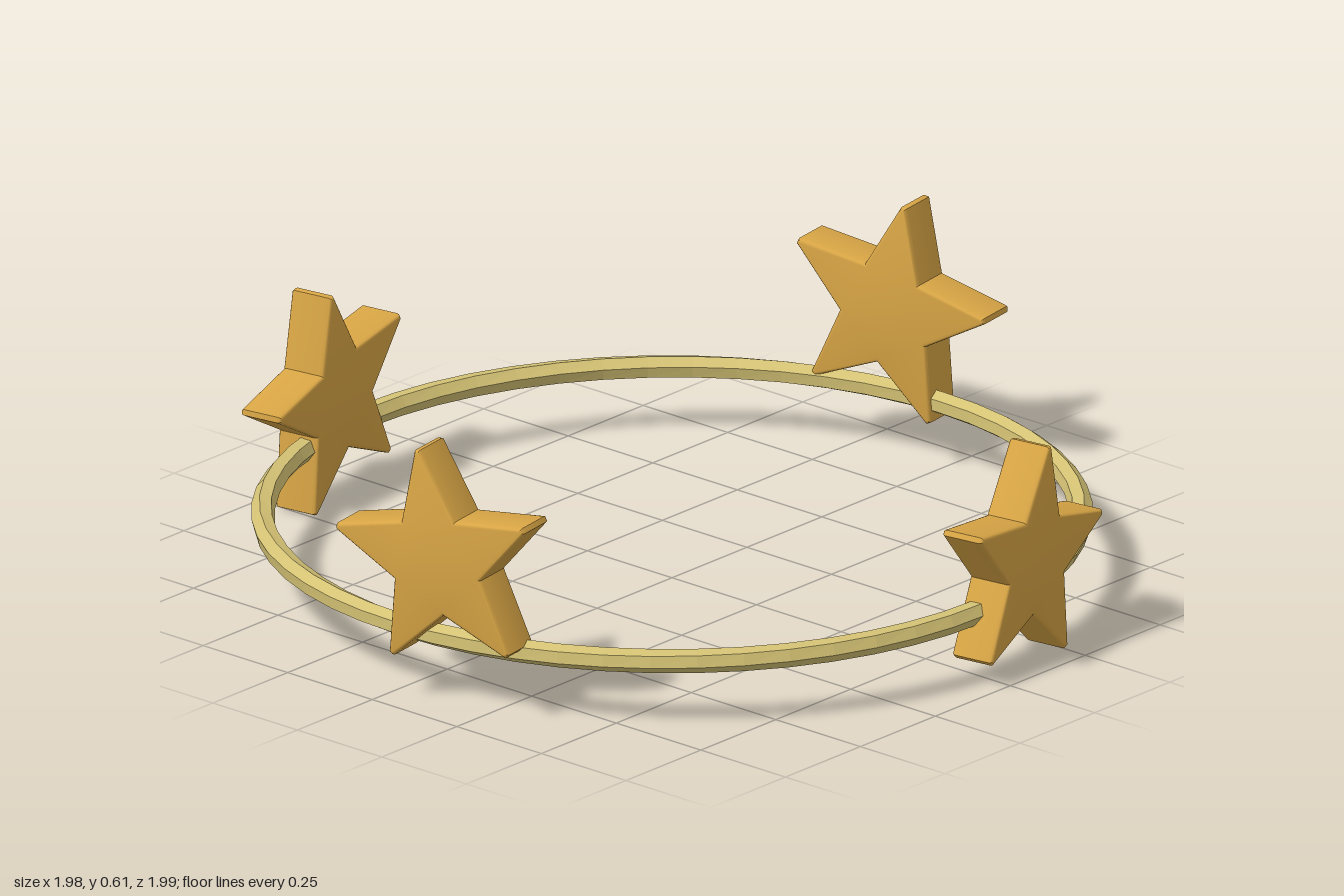
import * as THREE from 'three';
import { toCreasedNormals } from 'three/addons/utils/BufferGeometryUtils.js';

const RING_R = 0.906, RING_Y = 0.148, TUBE = 0.027, SIDES = 6;

// Hexagonal tube bent into a circle, slowly twisting along its length
function ringGeometry() {
  const geo = new THREE.TorusGeometry(RING_R, TUBE, SIDES, 56);
  const pos = geo.attributes.position, uv = geo.attributes.uv;
  const twist = Math.PI * 2 / 3; // a whole number of facets, so the loop closes
  for (let i = 0; i < pos.count; i++) {
    const u = uv.getX(i);
    const a = u * Math.PI * 2;
    const t = uv.getY(i) * Math.PI * 2 + u * twist;
    const r = RING_R + TUBE * Math.cos(t);
    pos.setXYZ(i, r * Math.cos(a), r * Math.sin(a), TUBE * Math.sin(t));
  }
  geo.rotateX(-Math.PI / 2);
  const flat = geo.toNonIndexed();
  flat.computeVertexNormals();
  return flat;
}

// Thick five-pointed star with slightly blunt tips and softened rims
function starGeometry() {
  const outer = 0.263, inner = 0.121, blunt = 0.025, depth = 0.106, bevel = 0.009;
  const points = [];
  const add = (r, a) => points.push(new THREE.Vector2(r * Math.cos(a), r * Math.sin(a)));
  for (let i = 0; i < 5; i++) {
    const a = Math.PI / 2 + i * Math.PI * 2 / 5;
    add(outer, a - blunt);
    add(outer, a + blunt);
    add(inner, a + Math.PI / 5);
  }
  const geo = new THREE.ExtrudeGeometry(new THREE.Shape(points), {
    depth: depth - 2 * bevel, bevelEnabled: true, bevelThickness: bevel,
    bevelSize: bevel, bevelOffset: -bevel, bevelSegments: 3,
  });
  geo.translate(0, 0, -(depth / 2 - bevel));
  return toCreasedNormals(geo, 0.6);
}

export function createModel() {
  const model = new THREE.Group();
  model.name = 'starCirclet';

  const paleGold = new THREE.MeshStandardMaterial({ color: 0xd4c274 });
  paleGold.name = 'pale gold';
  const gold = new THREE.MeshStandardMaterial({ color: 0xd8a545 });
  gold.name = 'gold';

  const ring = new THREE.Mesh(ringGeometry(), paleGold);
  ring.name = 'ring';
  ring.position.y = RING_Y;
  model.add(ring);

  // Four stars a quarter turn apart, alternating in height and tilt
  const geo = starGeometry();
  ['frontStar', 'leftStar', 'backStar', 'rightStar'].forEach((name, i) => {
    const high = i % 2 === 0;
    const star = new THREE.Mesh(geo, gold);
    star.name = name;
    star.position.set(0, high ? 0.342 : 0.236, 0.916);
    star.rotation.z = (high ? 1 : -1) * 0.18;
    const pivot = new THREE.Group();
    pivot.name = name + 'Mount';
    pivot.rotation.y = 0.15 + i * Math.PI / 2;
    pivot.add(star);
    model.add(pivot);
  });

  return model;
}
